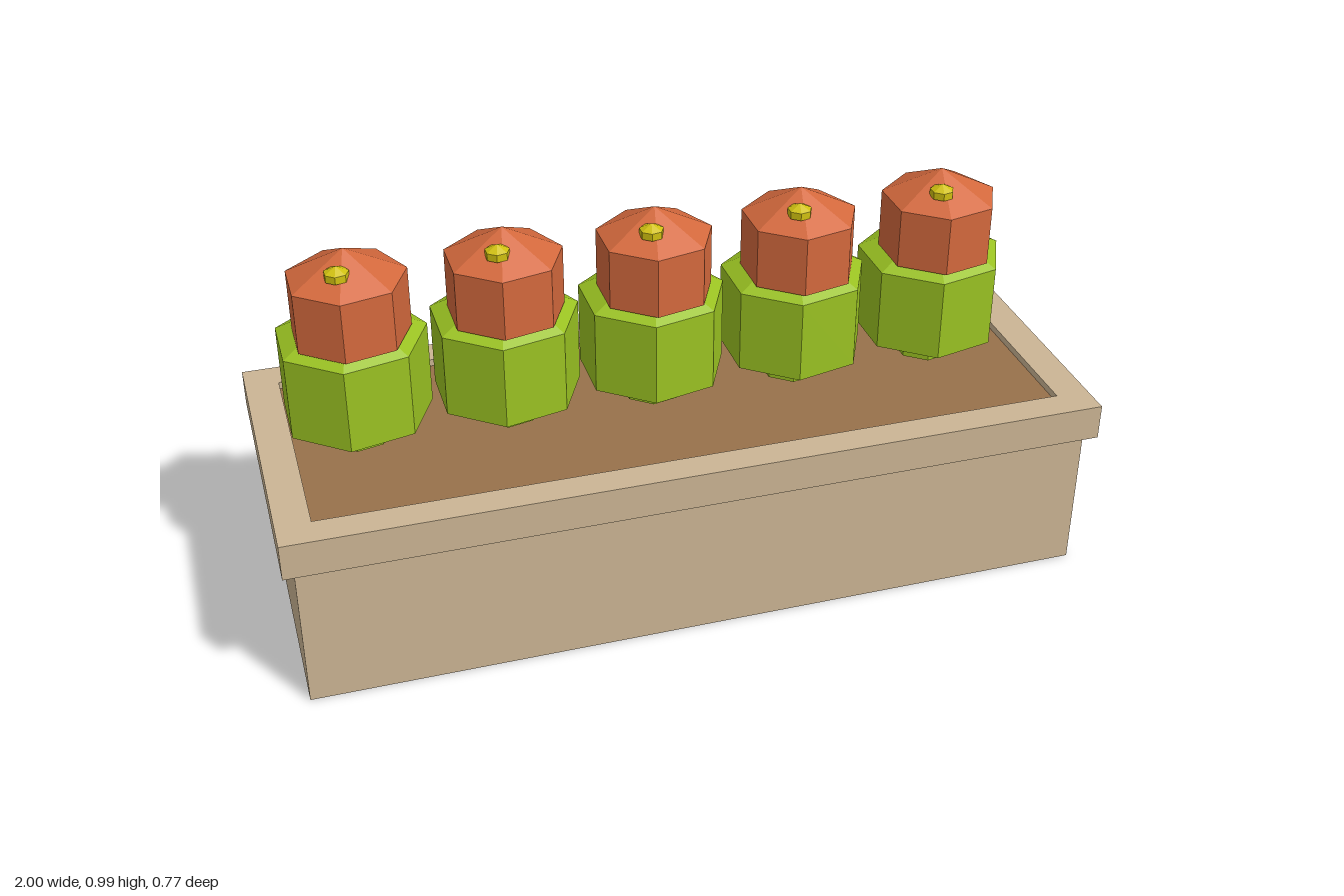
import * as THREE from 'three';

const mat = (name, color) => {
  const m = new THREE.MeshStandardMaterial({ color });
  m.name = name;
  return m;
};

export function createModel() {
  const wood = mat('paleWood', 0xcbb594);
  const earth = mat('soilBrown', 0x98714b);
  const green = mat('cactusGreen', 0x9ac222);
  const orange = mat('budOrange', 0xd4693d);
  const yellow = mat('flowerYellow', 0xd0c010);

  const model = new THREE.Group();
  model.name = 'cactusPlanter';

  const add = (parent, name, geometry, material, x = 0, y = 0, z = 0) => {
    const mesh = new THREE.Mesh(geometry, material);
    mesh.name = name;
    mesh.position.set(x, y, z);
    parent.add(mesh);
    return mesh;
  };

  // Faceted seven-sided solid with one corner towards +x
  const faceted = (profile) => {
    const points = profile.map(([r, y]) => new THREE.Vector2(r, y));
    const g = new THREE.LatheGeometry(points, 7, Math.PI / 2).toNonIndexed();
    g.computeVertexNormals();
    return g;
  };

  // Planter box
  add(model, 'planterBody', new THREE.BoxGeometry(1.944, 0.373, 0.724), wood, 0, 0.1865, 0);

  // Overhanging rim with a rectangular opening
  const rect = (Type, w, d) => {
    const s = new Type();
    s.moveTo(-w, -d).lineTo(w, -d).lineTo(w, d).lineTo(-w, d).closePath();
    return s;
  };
  const rimShape = rect(THREE.Shape, 1, 0.385);
  rimShape.holes.push(rect(THREE.Path, 0.917, 0.308));
  const rim = new THREE.ExtrudeGeometry(rimShape, { depth: 0.09, bevelEnabled: false });
  rim.rotateX(-Math.PI / 2);
  add(model, 'planterRim', rim, wood, 0, 0.373, 0);

  // Soil, just below the rim
  add(model, 'soil', new THREE.BoxGeometry(1.834, 0.075, 0.616), earth, 0, 0.4075, 0);

  // Shared cactus shapes
  const stem = faceted([[0, 0.435], [0.03, 0.45], [0.075, 0.472], [0.075, 0.496], [0, 0.52]]);
  const body = faceted([[0, 0.475], [0.18, 0.541], [0.18, 0.748], [0, 0.84]]);
  const bud = faceted([[0, 0.72], [0.141, 0.767], [0.141, 0.915], [0, 0.985]]);
  const flower = faceted([[0, 0.93], [0.029, 0.942], [0.029, 0.96], [0, 0.974]]);

  // Row of five cacti
  for (let i = 0; i < 5; i++) {
    const cactus = new THREE.Group();
    cactus.name = `cactus${i + 1}`;
    cactus.position.x = -0.76 + i * 0.3625;
    add(cactus, 'stem', stem, green);
    add(cactus, 'body', body, green);
    add(cactus, 'bud', bud, orange, 0, 0, 0.027);
    add(cactus, 'flower', flower, yellow, -0.025, 0, 0.088);
    model.add(cactus);
  }
  return model;
}
